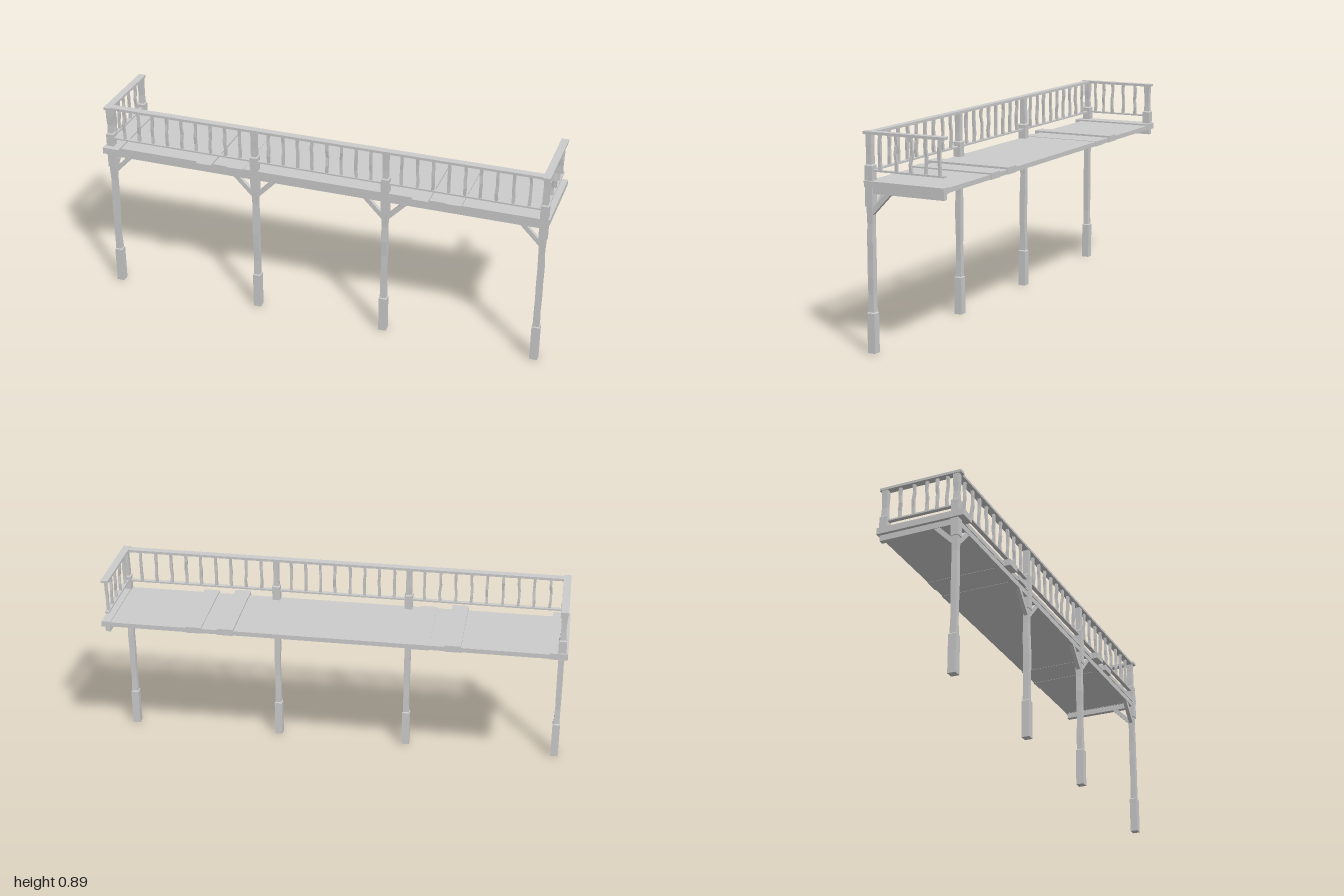
import * as THREE from 'three';

const material = new THREE.MeshStandardMaterial({ color: 0xcccccc, flatShading: true });

// Small seeded generator for the hand-hewn wobble, -1..1
let seed = 7;
const wobble = () => {
  seed = (seed * 16807) % 2147483647;
  return (seed / 2147483647) * 2 - 1;
};

export function createModel() {
  const model = new THREE.Group();

  const add = (name, geometry, parent = model) => {
    const mesh = new THREE.Mesh(geometry, material);
    mesh.name = name;
    parent.add(mesh);
    return mesh;
  };

  // Box given by its minimum and maximum along each axis
  const slab = (name, x0, x1, y0, y1, z0, z1, parent) => {
    const mesh = add(name, new THREE.BoxGeometry(x1 - x0, y1 - y0, z1 - z0), parent);
    mesh.position.set((x0 + x1) / 2, (y0 + y1) / 2, (z0 + z1) / 2);
    return mesh;
  };

  // Timber along y whose rings are nudged sideways and in width
  const timber = (name, x, z, y0, y1, wx, wz, rings, amount, parent) => {
    const geometry = new THREE.BoxGeometry(wx, y1 - y0, wz, 1, rings, 1);
    const nudges = Array.from({ length: rings + 1 }, (_, i) =>
      i === 0 || i === rings ? [0, 0, 1] : [wobble() * amount, wobble() * amount, 0.92 + wobble() * 0.1]);
    const p = geometry.attributes.position;
    for (let i = 0; i < p.count; i++) {
      const [dx, dz, s] = nudges[Math.round((p.getY(i) / (y1 - y0) + 0.5) * rings)];
      p.setX(i, p.getX(i) * s + dx);
      p.setZ(i, p.getZ(i) * s + dz);
    }
    geometry.computeVertexNormals();
    add(name, geometry, parent).position.set(x, (y0 + y1) / 2, z);
  };

  // Square block with a small chamfer at the top or bottom
  const block = (name, x, z, y0, y1, w, parent) => {
    slab(name, x - w / 2, x + w / 2, y0, y1 - 0.005, z - w / 2, z + w / 2, parent);
    const cap = add(name + 'Chamfer',
      new THREE.CylinderGeometry((w - 0.008) / Math.SQRT2, w / Math.SQRT2, 0.005, 4).rotateY(Math.PI / 4), parent);
    cap.position.set(x, y1 - 0.0025, z);
  };

  // Diagonal strut rising from a post towards (dx, dz)
  const brace = (name, x, z, dx, dz, parent) => {
    const shape = new THREE.Shape();
    [[0.008, 0.555], [0.008, 0.583], [0.07, 0.648], [0.098, 0.648]].forEach(([a, b], i) =>
      i ? shape.lineTo(a, b) : shape.moveTo(a, b));
    const geometry = new THREE.ExtrudeGeometry(shape, { depth: 0.018, bevelEnabled: false });
    geometry.translate(0, 0, -0.009).rotateY(Math.atan2(-dz, dx));
    add(name, geometry, parent).position.set(x, 0, z);
  };

  const postZ = 0.152, endX = 0.975;
  const postXs = [-endX, -0.295, 0.295, endX];

  // Deck with raised cross planks whose ends overhang the front
  slab('deck', -0.995, 0.995, 0.672, 0.692, -0.19, 0.165);
  [
    [-1, -0.925, 0.699, 0.195], [-0.555, -0.485, 0.7, 0.193], [-0.42, -0.345, 0.694, 0.174],
    [0.42, 0.49, 0.7, 0.193], [0.56, 0.63, 0.698, 0.18], [0.96, 1, 0.696, 0.168],
  ].forEach(([x0, x1, top, front]) => slab('deckPlank', x0, x1, 0.671, top, -0.193, front));

  // Beams under the front and the two ends
  slab('frontBeam', -endX, endX, 0.647, 0.672, 0.14, 0.162);
  for (const s of [-1, 1]) {
    slab('endBeam', s * endX - 0.011, s * endX + 0.011, 0.645, 0.672, -0.185, 0.15);
  }

  // Posts with footing, shaft, collar and railing newel
  for (const x of postXs) {
    const post = new THREE.Group();
    post.name = 'post';
    model.add(post);
    block('footing', x, postZ, 0, 0.168, 0.034, post);
    timber('shaft', x, postZ, 0.165, 0.596, 0.027, 0.027, 6, 0.0015, post);
    block('collar', x, postZ, 0.593, 0.76, 0.034, post);
    timber('newel', x, postZ, 0.757, 0.878, 0.025, 0.025, 3, 0.001, post);
    if (x > -0.9) brace('braceRight', x, postZ, -1, 0, post);
    if (x < 0.9) brace('braceLeft', x, postZ, 1, 0, post);
    if (Math.abs(x) > 0.9) brace('braceBack', x, postZ, 0, -1, post);
  }

  // Railing: handrails, lower rails and balusters
  const railing = new THREE.Group();
  railing.name = 'railing';
  model.add(railing);
  const baluster = (x, z) => timber('baluster', x, z, 0.736, 0.88, 0.012, 0.012, 4, 0.003, railing);

  slab('frontHandrail', -0.99, 0.99, 0.877, 0.888, 0.136, 0.168, railing);
  slab('frontLowerRail', -endX, endX, 0.731, 0.738, 0.143, 0.161, railing);
  [9, 8, 9].forEach((count, bay) => {
    const a = postXs[bay], b = postXs[bay + 1];
    for (let i = 1; i <= count; i++) baluster(a + ((b - a) * i) / (count + 1), postZ);
  });

  for (const s of [-1, 1]) {
    const x = s * endX;
    slab('endHandrail', x - 0.016, x + 0.016, 0.878, 0.889, -0.19, 0.176, railing);
    slab('endLowerRail', x - 0.009, x + 0.009, 0.732, 0.739, -0.185, 0.15, railing);
    const zs = s > 0 ? [0.105, 0.033, -0.035, -0.1, -0.163] : [0.11, 0.065, 0.018, -0.04, -0.102];
    zs.forEach((z) => baluster(x, z));
  }

  // Single back newel closing the right end of the railing
  block('backNewelBase', -endX, -0.169, 0.69, 0.758, 0.034, railing);
  timber('backNewel', -endX, -0.169, 0.755, 0.88, 0.026, 0.026, 3, 0.001, railing);

  return model;
}
